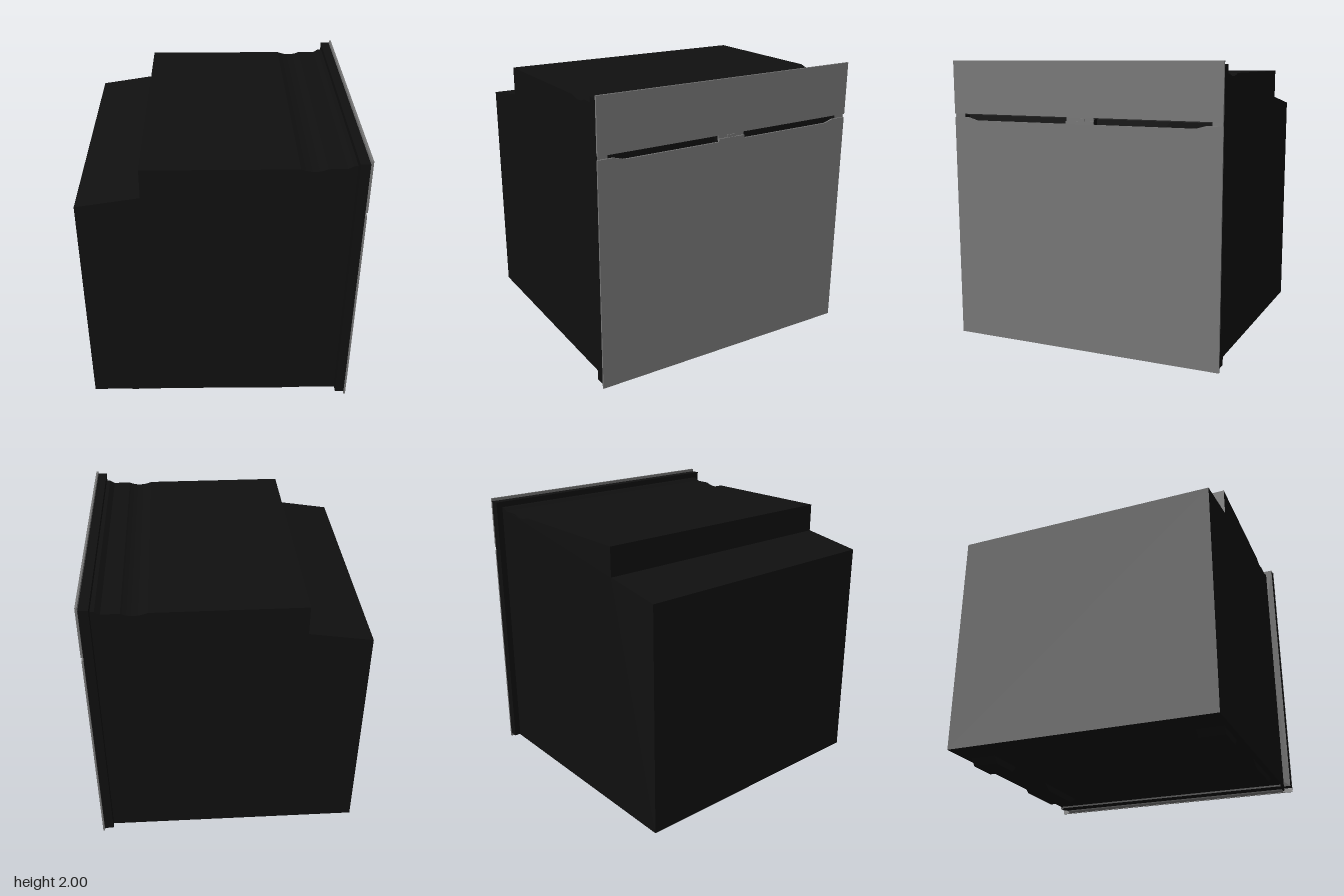
import * as THREE from 'three';

const black = new THREE.MeshStandardMaterial({ color: 0x101010 });
const grey = new THREE.MeshStandardMaterial({ color: 0x777777 });

function shapeOf(points) {
  return new THREE.Shape(points.map(([x, y]) => new THREE.Vector2(x, y)));
}

export function createModel() {
  const root = new THREE.Group();

  function add(name, geometry, material) {
    const mesh = new THREE.Mesh(geometry, material);
    mesh.name = name;
    root.add(mesh);
    return mesh;
  }
  // Box given by its minimum and maximum on each axis
  function box(name, [x0, x1], [y0, y1], [z0, z1], material) {
    const mesh = add(name, new THREE.BoxGeometry(x1 - x0, y1 - y0, z1 - z0), material);
    mesh.position.set((x0 + x1) / 2, (y0 + y1) / 2, (z0 + z1) / 2);
    return mesh;
  }
  // Side profile (x, y) swept across the width
  function sweep(name, shape, z0, z1, material) {
    const mesh = add(name, new THREE.ExtrudeGeometry(shape, { depth: z1 - z0, bevelEnabled: false }), material);
    mesh.position.z = z0;
    return mesh;
  }
  // Outline in the door plane, given thickness towards +x
  function slab(name, shape, x0, x1, material) {
    const mesh = add(name, new THREE.ExtrudeGeometry(shape, { depth: x1 - x0, bevelEnabled: false }), material);
    mesh.rotation.y = Math.PI / 2;
    mesh.position.x = x0;
    return mesh;
  }

  // Housing with a stepped, sloping rear and a shallow channel on top
  const housing = shapeOf([[-0.93, 0.045], [0.86, 0.045], [0.86, 1.94], [0.815, 1.94], [0.78, 1.92], [0.66, 1.92]]);
  housing.bezierCurveTo(0.61, 1.895, 0.55, 1.895, 0.49, 1.92);
  housing.lineTo(-0.51, 1.92);
  housing.lineTo(-0.51, 1.72);
  housing.lineTo(-0.93, 1.655);
  sweep('housing', housing, -0.945, 0.94, black);

  // Front frame, open where the handle recess is
  const frame = shapeOf([[-0.99, 0.05], [0.99, 0.05], [0.99, 1.98], [-0.99, 1.98]]);
  for (const s of [-1, 1]) {
    const ends = [0.1 * s, 0.91 * s];
    frame.holes.push(new THREE.Path([[ends[0], 1.55], [ends[1], 1.55], [ends[1], 1.622], [ends[0], 1.622]]
      .map(([x, y]) => new THREE.Vector2(x, y))));
  }
  slab('frontFrame', frame, 0.842, 0.906, black);

  // Control panel
  box('controlPanel', [0.908, 0.922], [1.63, 2], [-0.99, 0.99], grey);

  // Door with finger recesses cut in its top edge
  const door = shapeOf([
    [-0.99, 0.02], [0.99, 0.02], [0.99, 1.605], [0.88, 1.605], [0.81, 1.585], [0.105, 1.585], [0.1, 1.605],
    [-0.1, 1.605], [-0.105, 1.585], [-0.81, 1.585], [-0.88, 1.605], [-0.99, 1.605],
  ]);
  slab('door', door, 0.908, 0.92, grey);

  // Grip ledges inside the recesses, end strips and the latch cover
  const ledge = shapeOf([[0.862, 1.55], [0.908, 1.55], [0.908, 1.585], [0.862, 1.565]]);
  for (const s of [-1, 1]) {
    sweep('gripLedge', ledge, s > 0 ? 0.1 : -0.88, s > 0 ? 0.88 : -0.1, grey);
    const a = s * 0.915, b = s * 0.985;
    box('gapEnd', [0.9, 0.908], [1.6, 1.635], [Math.min(a, b), Math.max(a, b)], grey);
  }
  box('latchCover', [0.895, 0.909], [1.59, 1.635], [-0.1, 0.1], grey);
  box('latch', [0.9, 0.915], [1.603, 1.622], [-0.035, 0.035], grey);

  // Lower trim and rounded bottom lip behind the door
  box('lowerTrim', [0.76, 0.9], [0.032, 0.05], [-0.93, 0.93], black);
  const lip = add('bottomLip', new THREE.CylinderGeometry(0.028, 0.028, 1.84, 16), grey);
  lip.rotation.x = Math.PI / 2;
  lip.position.set(0.875, 0.043, 0);

  // Pressed feet with sloping ends
  for (const [x0, x1, slope] of [[-0.71, -0.4, 0.05], [0.03, 0.57, 0.08]]) {
    const foot = shapeOf([[x0, 0.05], [x0 + slope, 0], [x1 - slope, 0], [x1, 0.05]]);
    sweep('footLeft', foot, 0.72, 0.9, black);
    sweep('footRight', foot, -0.9, -0.72, black);
  }

  return root;
}
